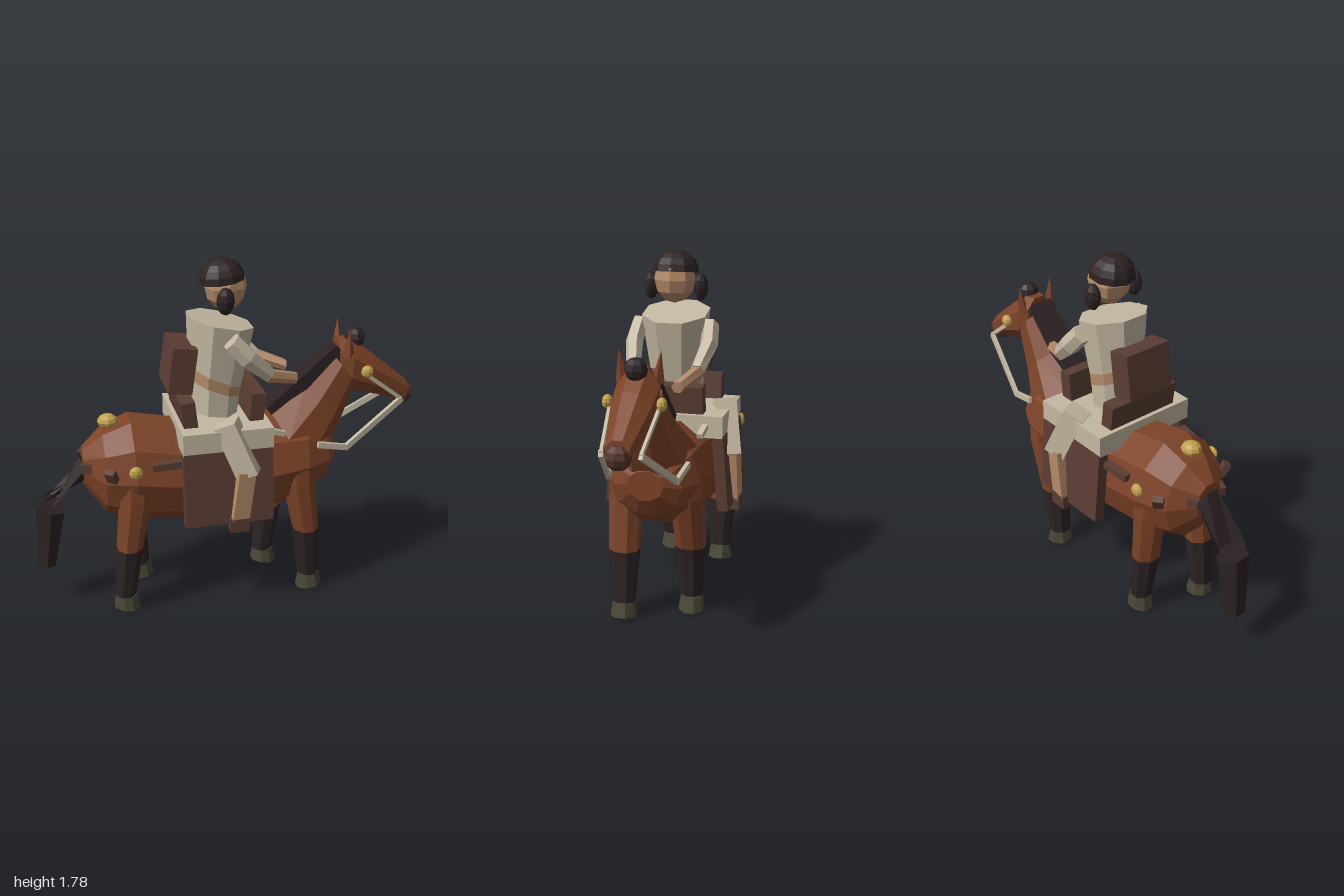
import * as THREE from 'three';

const mat = (name, color, extra = {}) => {
  const m = new THREE.MeshStandardMaterial({ color, flatShading: true, ...extra });
  m.name = name;
  return m;
};

export function createModel() {
  const coat = mat('chestnut coat', 0x7d4328);
  const dark = mat('dark hair', 0x2d2223);
  const leather = mat('saddle leather', 0x5a3d33);
  const cloth = mat('pale cloth', 0xc4b8a2);
  const skin = mat('skin', 0xb48a68);
  const hoofMat = mat('hoof', 0x4a4636);
  const gold = mat('gold', 0xc2a24c);
  const nose = mat('muzzle', 0x543429);

  const root = new THREE.Group();
  root.name = 'horseAndRider';
  const add = (name, geo, m, pos = [0, 0, 0], rotZ = 0) => {
    const mesh = new THREE.Mesh(geo, m);
    mesh.name = name;
    mesh.position.set(...pos);
    mesh.rotation.z = rotZ;
    root.add(mesh);
    return mesh;
  };

  // Skin over elliptical rings [x, y, z, radius along tilt, radius along z, tilt in the xy plane]
  const loft = (name, m, rings, n = 8) => {
    const pos = [], idx = [], last = rings.length - 1;
    for (const [x, y, z, ru, rz, t = 0] of rings)
      for (let i = 0; i < n; i++) {
        const a = ((i + 0.5) / n) * Math.PI * 2, u = ru * Math.cos(a);
        pos.push(x + u * Math.cos(t), y + u * Math.sin(t), z + rz * Math.sin(a));
      }
    const [r0, r1] = rings, t0 = r0[5] || 0;
    const flip = (r1[0] - r0[0]) * Math.sin(t0) - (r1[1] - r0[1]) * Math.cos(t0) < 0;
    const tri = (a, b, c) => (flip ? idx.push(a, c, b) : idx.push(a, b, c));
    for (let k = 0; k < last; k++)
      for (let i = 0; i < n; i++) {
        const a = k * n + i, b = k * n + ((i + 1) % n);
        tri(a, b, b + n);
        tri(a, b + n, a + n);
      }
    for (let i = 1; i < n - 1; i++) {
      tri(0, i + 1, i);
      tri(last * n, last * n + i, last * n + i + 1);
    }
    const g = new THREE.BufferGeometry();
    g.setAttribute('position', new THREE.Float32BufferAttribute(pos, 3));
    g.setIndex(idx);
    g.computeVertexNormals();
    return add(name, g, m);
  };

  // Box beam between two points
  const bar = (name, m, p, q, w, h) => {
    const a = new THREE.Vector3(...p), b = new THREE.Vector3(...q);
    const mesh = add(name, new THREE.BoxGeometry(w, h, a.distanceTo(b)), m);
    mesh.position.copy(a).add(b).multiplyScalar(0.5);
    mesh.lookAt(b);
    return mesh;
  };
  const ball = (name, m, p, rx, ry, rz) => {
    const mesh = add(name, new THREE.SphereGeometry(1, 8, 6), m, p);
    mesh.scale.set(rx, ry, rz);
    return mesh;
  };
  const box = (name, m, x0, x1, y0, y1, z0, z1, rot = 0) =>
    add(name, new THREE.BoxGeometry(x1 - x0, y1 - y0, z1 - z0), m,
      [(x0 + x1) / 2, (y0 + y1) / 2, (z0 + z1) / 2], rot);
  const UP = Math.PI / 2;

  // Horse trunk: x, top, bottom, half width
  loft('body', coat, [
    [-0.74, 0.86, 0.67, 0.08], [-0.64, 0.95, 0.52, 0.19], [-0.5, 1.01, 0.47, 0.245],
    [-0.3, 0.97, 0.45, 0.245], [-0.08, 0.94, 0.42, 0.245], [0.2, 0.98, 0.45, 0.245],
    [0.38, 0.96, 0.51, 0.23], [0.5, 0.88, 0.59, 0.17], [0.55, 0.82, 0.68, 0.09],
  ].map(([x, t, b, w]) => [x, (t + b) / 2, 0, (t - b) / 2 + 0.005, w, UP]), 10);

  // Neck, head and muzzle
  loft('neck', coat, [
    [0.34, 0.83, 0, 0.21, 0.2, -0.65], [0.49, 1.0, 0, 0.15, 0.13, -0.8], [0.6, 1.18, 0, 0.12, 0.1, -0.95],
  ]);
  loft('horseHead', coat, [
    [0.57, 1.24, 0, 0.1, 0.08, UP], [0.63, 1.2, 0, 0.14, 0.11, UP],
    [0.75, 1.14, 0, 0.115, 0.1, UP], [0.95, 1.03, 0, 0.06, 0.06, UP],
  ]);
  ball('muzzle', nose, [0.94, 1.01, 0], 0.06, 0.06, 0.062);
  bar('mane', dark, [0.22, 0.97, 0], [0.58, 1.28, 0], 0.12, 0.09);
  ball('forelock', dark, [0.665, 1.33, 0], 0.055, 0.055, 0.055);

  // Tail in two pieces
  loft('tailUpper', dark, [[-0.735, 0.77, 0, 0.075, 0.065, 1.9], [-0.91, 0.585, 0, 0.055, 0.085, -0.2]], 6);
  loft('tailLower', dark, [[-0.915, 0.55, 0, 0.08, 0.085, -0.3], [-0.953, 0.23, 0, 0.05, 0.06, -0.08]], 6);

  // Horse legs: top x, knee x, ankle x, side
  for (const [name, xt, xk, xa, s] of [
    ['hindLegNear', -0.5, -0.54, -0.57, 1], ['hindLegFar', -0.5, -0.48, -0.45, -1],
    ['frontLegNear', 0.34, 0.385, 0.405, 1], ['frontLegFar', 0.34, 0.265, 0.235, -1],
  ]) {
    const z = 0.153 * s, tilt = xa > xk ? 0.15 : -0.1;
    loft(name + 'Upper', coat, [[xt, 0.74, z, 0.085, 0.08], [xt, 0.64, z, 0.085, 0.085], [xk, 0.36, z, 0.068, 0.078]]);
    loft(name + 'Sock', dark, [[xk, 0.36, z, 0.07, 0.08], [xa, 0.09, z, 0.055, 0.058]]);
    loft(name + 'Hoof', hoofMat, [[xa + 0.005, 0.09, z, 0.055, 0.055, tilt], [xa + 0.008, 0.015, z, 0.072, 0.067, tilt]]);
  }

  // Saddle and packs
  box('blanket', cloth, -0.28, 0.17, 0.89, 1.0, -0.285, 0.285);
  box('cantle', leather, -0.265, -0.195, 0.99, 1.13, -0.2, 0.2, 0.12);
  box('pommel', leather, 0.08, 0.15, 0.99, 1.14, -0.18, 0.18, -0.1);
  box('backpack', leather, -0.305, -0.185, 1.15, 1.38, -0.13, 0.13, -0.14);
  ball('rumpOrnament', gold, [-0.605, 0.995, 0], 0.052, 0.035, 0.05);

  // Rider torso, sash and head
  loft('torsoLower', cloth, [[-0.075, 1.01, 0, 0.125, 0.13, -0.15], [-0.065, 1.17, 0, 0.14, 0.135, -0.35]]);
  loft('sash', skin, [[-0.072, 1.14, 0, 0.145, 0.14, -0.4], [-0.068, 1.2, 0, 0.147, 0.142, -0.4]]);
  loft('torsoUpper', cloth, [[-0.065, 1.17, 0, 0.14, 0.135, -0.35], [-0.035, 1.475, 0, 0.172, 0.173, -0.22]]);
  ball('riderHead', skin, [-0.005, 1.64, 0], 0.105, 0.118, 0.105);
  const cap = add('hairCap', new THREE.SphereGeometry(0.115, 10, 5, 0, Math.PI * 2, 0, UP), dark, [-0.025, 1.672, 0], 0.12);
  cap.scale.y = 0.95;
  add('hairCapUnderside', new THREE.CircleGeometry(0.115, 10).rotateX(UP), dark, [-0.025, 1.672, 0], 0.12);

  // Mirrored parts
  for (const s of [1, -1]) {
    const tag = s > 0 ? 'Near' : 'Far';
    const p = (x, y, z) => [x, y, z * s];
    const ear = add('ear' + tag, new THREE.ConeGeometry(0.033, 0.15, 4), coat, p(0.605, 1.335, 0.09));
    ear.rotation.x = 0.12 * s;
    ball('bridleStud' + tag, gold, p(0.695, 1.185, 0.125), 0.033, 0.033, 0.025);
    bar('cheekStrap' + tag, cloth, p(0.69, 1.17, 0.115), p(0.9, 1.01, 0.09), 0.015, 0.02);
    bar('reinFront' + tag, cloth, p(0.905, 1.01, 0.09), p(0.58, 0.795, 0.165), 0.02, 0.03);
    bar('reinBack' + tag, cloth, p(0.59, 0.8, 0.165), p(0.43, 0.835, 0.18), 0.02, 0.03);
    bar('saddleStrap' + tag, cloth, p(0.15, 0.955, 0.2), p(0.25, 0.92, 0.19), 0.03, 0.025);

    const flap = add('saddleFlap' + tag, new THREE.BoxGeometry(0.445, 0.38, 0.055), leather, p(-0.056, 0.705, 0.275));
    flap.rotation.x = -0.08 * s;
    bar('crupperStrap' + tag, leather, p(-0.42, 0.825, 0.23), p(-0.28, 0.84, 0.245), 0.04, 0.035);
    bar('haunchStrap' + tag, leather, p(-0.61, 0.76, 0.2), p(-0.63, 0.82, 0.225), 0.05, 0.035);
    bar('tailStrap' + tag, leather, p(-0.7, 0.79, 0.1), p(-0.75, 0.785, 0.08), 0.03, 0.05);
    ball('haunchStud' + tag, gold, p(-0.505, 0.81, 0.245), 0.034, 0.034, 0.022);

    // Rider limbs and side hair
    loft('sleeveUpper' + tag, cloth, [[-0.02, 1.42, 0.18 * s, 0.05, 0.042, 0.8], [0.06, 1.33, 0.19 * s, 0.052, 0.045, 0.8],
      [0.18, 1.225, 0.16 * s, 0.04, 0.036, 1.05]], 6);
    loft('forearm' + tag, skin, [[0.17, 1.225, 0.165 * s, 0.036, 0.034, 1.2], [0.33, 1.175, 0.1 * s, 0.03, 0.03, 1.45]], 6);
    bar('thigh' + tag, cloth, p(-0.06, 1.03, 0.245), p(0.045, 0.77, 0.295), 0.1, 0.11);
    bar('shin' + tag, skin, p(0.025, 0.79, 0.315), p(-0.01, 0.53, 0.318), 0.052, 0.085);
    box('boot' + tag, leather, -0.06, 0.035, 0.48, 0.55, 0.318 * s - 0.029, 0.318 * s + 0.029);
    ball('hairBun' + tag, dark, p(-0.035, 1.6, 0.126), 0.045, 0.068, 0.036);
  }
  return root;
}
